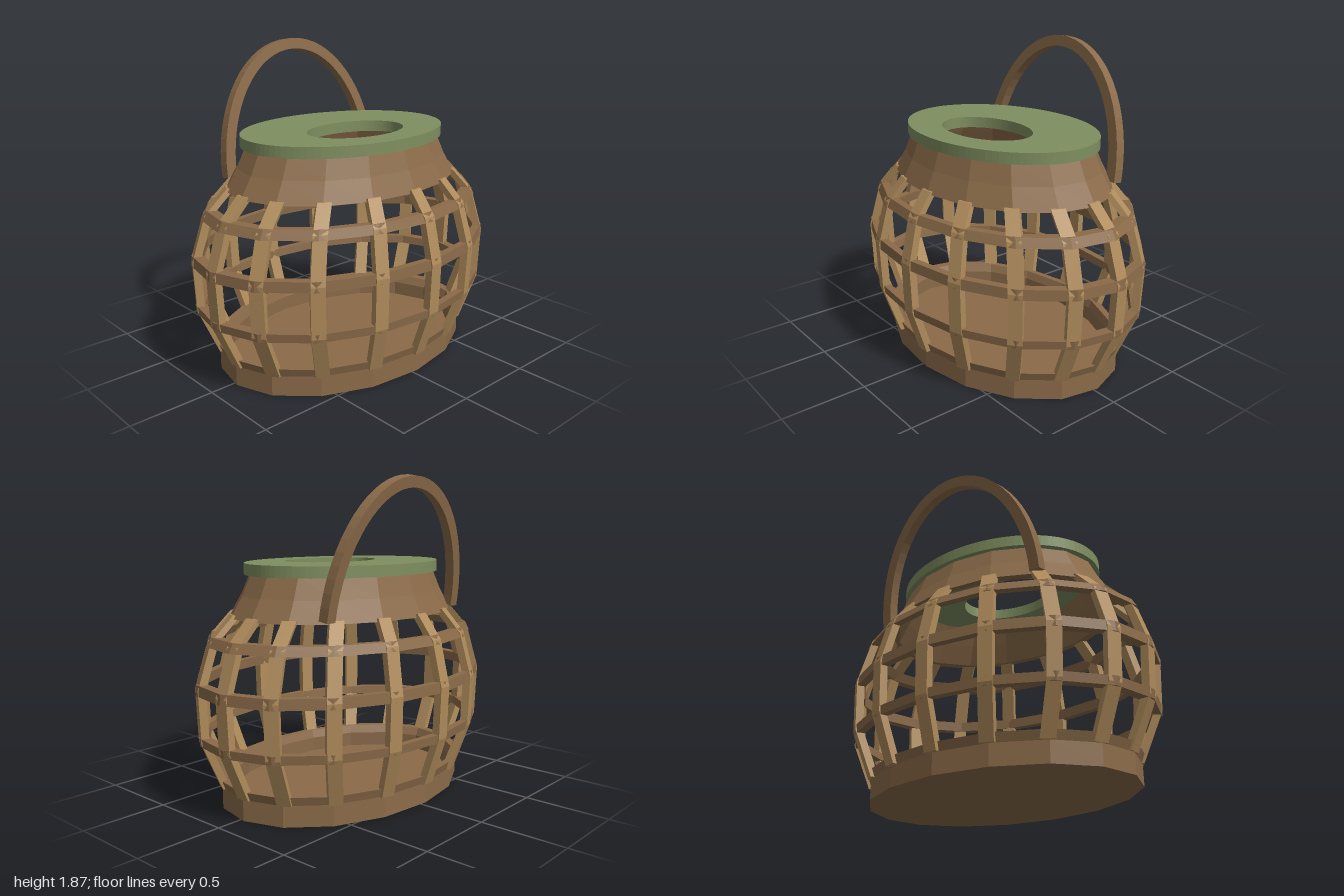
import * as THREE from 'three';

const SIDES = 16, OFFSET = 0.044, DEPTH = 0.72; // oval basket: depth is 0.72 of width
const brown = new THREE.MeshStandardMaterial({ color: 0x8b6b49, flatShading: true });
const straw = new THREE.MeshStandardMaterial({ color: 0xb08c5c, flatShading: true });
const green = new THREE.MeshStandardMaterial({ color: 0x7f8f60, flatShading: true });

function add(group, name, geometry, material) {
  const mesh = new THREE.Mesh(geometry, material);
  mesh.name = name;
  group.add(mesh);
  return mesh;
}

// Faceted oval ring turned from a profile of [radius, y]
function ovalLathe(profile, depth = DEPTH) {
  const points = profile.map(([r, y]) => new THREE.Vector2(r, y));
  const geo = new THREE.LatheGeometry(points, SIDES, OFFSET).scale(1, 1, depth).toNonIndexed();
  geo.computeVertexNormals();
  return geo;
}

// Rectangular bar following the side profile at one angle
function ribGeometry(angle, profile, width, thickness) {
  const s = Math.sin(angle), c = Math.cos(angle);
  const t = new THREE.Vector3(c, 0, -DEPTH * s).normalize();
  const n = new THREE.Vector3(DEPTH * s, 0, c).normalize();
  const corners = [[1, 1], [1, -1], [-1, -1], [-1, 1]];
  const rings = profile.map(([r, y]) => corners.map(([a, b]) =>
    new THREE.Vector3(r * s, y, r * c * DEPTH)
      .addScaledVector(t, a * width / 2)
      .addScaledVector(n, b * thickness / 2)));
  const points = [];
  for (let j = 0; j < rings.length - 1; j++) {
    for (let k = 0; k < 4; k++) {
      const k2 = (k + 1) % 4;
      const a = rings[j][k], b = rings[j][k2], d = rings[j + 1][k], e = rings[j + 1][k2];
      points.push(a, b, e, a, e, d);
    }
  }
  // end caps
  const [p, q, r, u] = rings[0];
  points.push(p, r, q, p, u, r);
  const [f, g, h, i] = rings[rings.length - 1];
  points.push(f, g, h, f, h, i);
  const geo = new THREE.BufferGeometry().setFromPoints(points);
  geo.computeVertexNormals();
  return geo;
}

export function createModel() {
  const model = new THREE.Group();
  model.name = 'basket';

  // Hollow base tray with a floor
  add(model, 'base', ovalLathe([
    [0, 0], [0.85, 0], [0.85, 0.12], [0.87, 0.17], [0.815, 0.17], [0.79, 0.12], [0.79, 0.03], [0, 0.03],
  ], 0.708), brown);

  // Upright ribs
  const ribs = new THREE.Group();
  ribs.name = 'ribs';
  const ribProfile = [[0.83, 0.12], [0.955, 0.4], [0.97, 0.7], [0.885, 0.96], [0.745, 1.1]];
  for (let i = 0; i < SIDES; i++) {
    const angle = OFFSET + (i / SIDES) * Math.PI * 2;
    add(ribs, 'rib', ribGeometry(angle, ribProfile, 0.08, 0.045), straw);
  }
  model.add(ribs);

  // Horizontal bands: [y bottom, y top, outer radius bottom, outer radius top]
  for (const [y0, y1, r0, r1] of [
    [0.38, 0.43, 0.98, 0.987], [0.67, 0.73, 1.0, 0.995], [0.933, 0.985, 0.93, 0.9],
  ]) {
    const w = 0.06;
    add(model, 'band', ovalLathe([[r0, y0], [r1, y1], [r1 - w, y1], [r0 - w, y0], [r0, y0]]), brown);
  }

  // Sloping collar
  add(model, 'collar', ovalLathe([
    [0.775, 1.08], [0.7, 1.2], [0.642, 1.32], [0.59, 1.32], [0.65, 1.2], [0.715, 1.08], [0.775, 1.08],
  ]), brown);

  // Lid with an oval opening set toward the front
  const lidShape = new THREE.Shape().absellipse(0, 0, 0.67, 0.487, 0, Math.PI * 2);
  lidShape.holes.push(new THREE.Path().absellipse(0, -0.105, 0.325, 0.22, 0, Math.PI * 2, true));
  const lidGeo = new THREE.ExtrudeGeometry(lidShape, { depth: 0.065, bevelEnabled: false, curveSegments: 48 });
  lidGeo.rotateX(-Math.PI / 2).translate(0, 1.315, 0);
  add(model, 'lid', lidGeo, green);

  // Arched carrying handle, leaning backward
  const arch = new THREE.Shape();
  arch.absellipse(0, 0, 0.595, 0.78, 0, Math.PI, false);
  arch.absellipse(0, 0, 0.53, 0.715, Math.PI, 0, true);
  const handleGeo = new THREE.ExtrudeGeometry(arch, { depth: 0.06, bevelEnabled: false, curveSegments: 16 });
  handleGeo.translate(0, 0, -0.03);
  const handle = add(model, 'handle', handleGeo, brown);
  handle.position.set(0, 1.095, -0.385);
  handle.rotation.x = -0.157;

  return model;
}
